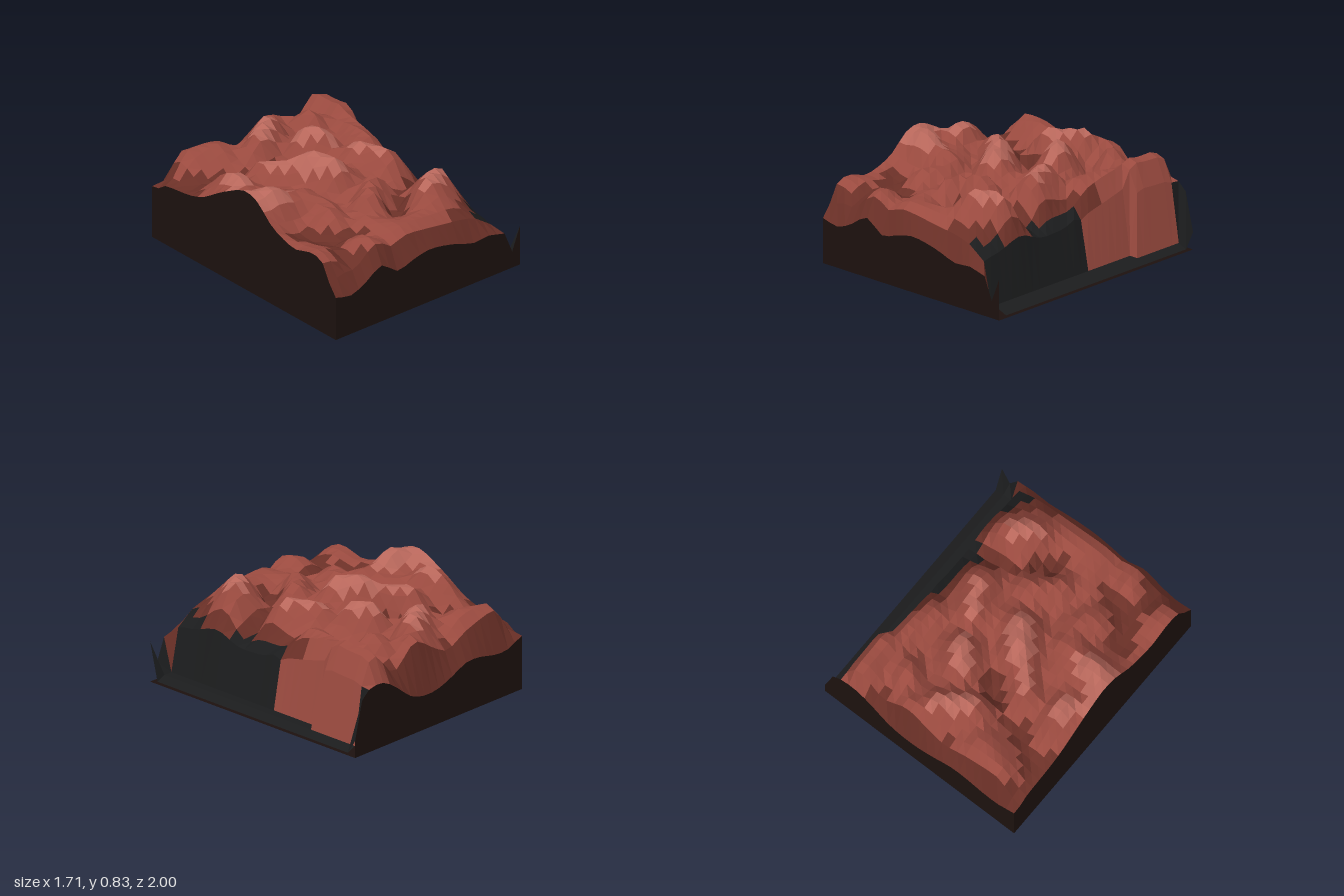
import * as THREE from 'three';

const NX = 24, NZ = 28, CELL = 1 / 14;
const X0 = -NX * CELL / 2, Z0 = -1;

// Ridges: start x, z, end x, z, crest height, radius
const ridges = [
  [-0.12, 0.85, 0.28, 0.74, 0.61, 0.2],
  [0.3, 0.66, 0.46, 0.55, 0.76, 0.18],
  [-0.16, -0.08, -0.08, 0.05, 0.81, 0.17],
  [-0.42, -0.32, -0.18, -0.1, 0.74, 0.16],
  [-0.86, 0.08, -0.7, 0.11, 0.8, 0.17],
  [-0.7, 0.12, -0.42, 0.16, 0.72, 0.16],
  [-0.78, -0.35, -0.72, -0.26, 0.79, 0.19],
  [-0.7, -0.15, -0.5, 0.0, 0.67, 0.18],
  [0.1, -0.42, 0.15, -0.33, 0.8, 0.17],
  [-0.19, -0.62, 0.0, -0.74, 0.76, 0.16],
  [0.03, -0.78, 0.16, -0.9, 0.69, 0.16],
  [0.33, -0.72, 0.36, -0.68, 0.72, 0.14],
  [0.59, -0.95, 0.6, -0.65, 0.705, 0.14],
  [0.58, -0.6, 0.48, -0.25, 0.67, 0.15],
  [0.28, -0.08, 0.36, 0.15, 0.75, 0.16],
  [-0.08, 0.47, 0.07, 0.33, 0.725, 0.15],
  [-0.46, 0.8, -0.42, 0.92, 0.62, 0.14],
  [-0.62, -0.88, -0.42, -0.8, 0.69, 0.2],
  [-0.42, 0.42, -0.37, 0.32, 0.67, 0.16],
  [-0.86, 0.55, -0.78, 0.72, 0.59, 0.18],
  [0.05, 0.1, 0.2, -0.1, 0.65, 0.18],
  [-0.22, 0.58, -0.17, 0.72, 0.6, 0.16],
];
// Hollows: x, z, depth, radius
const hollows = [
  [-0.22, -0.41, 0.12, 0.1], [0.08, 0.55, 0.12, 0.11],
  [0.48, 0.39, 0.15, 0.11], [-0.64, 0.85, 0.03, 0.12],
  [0.24, -0.58, 0.04, 0.08], [-0.52, -0.46, 0.03, 0.1],
];

// Heights along the block's cut edges, one value every second cell
const frontEdge = [0.34, 0.31, 0.37, 0.45, 0.355, 0.39, 0.42, 0.405, 0.37, 0.325, 0.335, 0.3, 0.3];
const backEdge = [0.41, 0.35, 0.35, 0.38, 0.38, 0.32, 0.27, 0.26, 0.3, 0.41, 0.49, 0.48, 0.4];
const leftEdge = [0.41, 0.47, 0.49, 0.51, 0.56, 0.65, 0.73, 0.79, 0.76, 0.64, 0.575, 0.55, 0.59, 0.56, 0.34];

// Smooth value between the entries of an edge list
function along(list, index) {
  const k = Math.min(Math.floor(index / 2), list.length - 2), t = index / 2 - k;
  const a = list[Math.max(k - 1, 0)], b = list[k], c = list[k + 1], d = list[Math.min(k + 2, list.length - 1)];
  return b + 0.5 * t * (c - a + t * (2 * a - 5 * b + 4 * c - d + t * (3 * (b - c) + d - a)));
}

function hillHeight(x, z) {
  let sum = 0;
  for (const [ax, az, bx, bz, crest, r] of ridges) {
    const dx = bx - ax, dz = bz - az;
    const t = THREE.MathUtils.clamp(((x - ax) * dx + (z - az) * dz) / (dx * dx + dz * dz), 0, 1);
    const d2 = (x - ax - t * dx) ** 2 + (z - az - t * dz) ** 2;
    sum += ((crest - 0.48) * Math.exp(-d2 / (r * r))) ** 4;
  }
  let y = 0.48 + sum ** 0.25;
  for (const [hx, hz, depth, r] of hollows) {
    y -= depth * Math.exp(-((x - hx) ** 2 + (z - hz) ** 2) / (r * r));
  }
  return Math.max(y, 0.41);
}

// Height at a grid corner: cut edges, hills, then the cliff and its flat foot
function height(i, j) {
  const x = X0 + i * CELL, z = Z0 + j * CELL;
  if (j === NZ) return i < NX - 1 ? along(frontEdge, i) : i < NX ? 0.13 : 0.31;
  if (j === 0) return i < NX - 1 ? along(backEdge, i) : i < NX ? 0.42 : 0.13;
  const foot = j <= 6 ? NX - 1 : NX - 2;
  if (i === NX) return 0.02;
  if (i >= foot) return 0.05;
  const inland = THREE.MathUtils.smoothstep(x, X0 - 0.01, X0 + 0.2);
  let y = THREE.MathUtils.lerp(along(leftEdge, j), hillHeight(x, z), inland);
  if (j === 1 || j === NZ - 1) y *= 0.96;
  // The last corner before the drop is rounded off
  if (i === foot - 1 && j < 14) y *= 0.87;
  const slope = THREE.MathUtils.smoothstep(z, -0.15, 0.15);
  return y * (1 - slope * THREE.MathUtils.smoothstep(x, 0.46, 0.72) * 0.25);
}

function pushQuad(list, a, b, c, d) {
  list.push(...a, ...b, ...c, ...a, ...c, ...d);
}

function addMesh(group, name, points, color, side = THREE.FrontSide) {
  const geometry = new THREE.BufferGeometry();
  geometry.setAttribute('position', new THREE.Float32BufferAttribute(points, 3));
  geometry.computeVertexNormals();
  const mesh = new THREE.Mesh(geometry, new THREE.MeshStandardMaterial({ color, side, flatShading: true }));
  mesh.name = name;
  group.add(mesh);
}

export function createModel() {
  const group = new THREE.Group();
  group.name = 'terrainBlock';
  const top = (i, j) => [X0 + i * CELL, height(i, j), Z0 + j * CELL];
  const base = (i, j) => [X0 + i * CELL, 0, Z0 + j * CELL];
  const low = [], mid = [], high = [], cliff = [], walls = [], floor = [];

  // Terrain cells sorted into rock tones by height
  for (let i = 0; i < NX; i++) {
    for (let j = 0; j < NZ; j++) {
      const corners = [top(i, j), top(i, j + 1), top(i + 1, j + 1), top(i + 1, j)];
      const y = corners.reduce((s, p) => s + p[1], 0) / 4;
      const inside = j > 0 && j < NZ - 1;
      let list = y > 0.71 ? high : y > 0.55 ? mid : low;
      if (i > 20 && j < 13 && y > 0.1) list = mid;
      else if (inside && y < 0.46) list = cliff;
      if (i >= NX - 2 && !inside) list = cliff;
      pushQuad(list, ...corners);
    }
  }

  // Block sides: front, back and left
  for (let i = 0; i < NX; i++) {
    pushQuad(walls, base(i, NZ), base(i + 1, NZ), top(i + 1, NZ), top(i, NZ));
    pushQuad(walls, base(i + 1, 0), base(i, 0), top(i, 0), top(i + 1, 0));
  }
  for (let j = 0; j < NZ; j++) {
    pushQuad(walls, base(0, j), base(0, j + 1), top(0, j + 1), top(0, j));
  }
  // Underside
  pushQuad(floor, base(0, 0), base(NX, 0), base(NX, NZ), base(0, NZ));

  addMesh(group, 'lowRock', low, 0x6b3027);
  addMesh(group, 'hillRock', mid, 0x9a4a3f);
  addMesh(group, 'ridgeRock', high, 0xb8675b);
  addMesh(group, 'cliffAndFoot', cliff, 0x1b1c1d);
  addMesh(group, 'blockWalls', walls, 0x1c110e);
  addMesh(group, 'baseFloor', floor, 0x1c110e, THREE.DoubleSide);
  return group;
}
